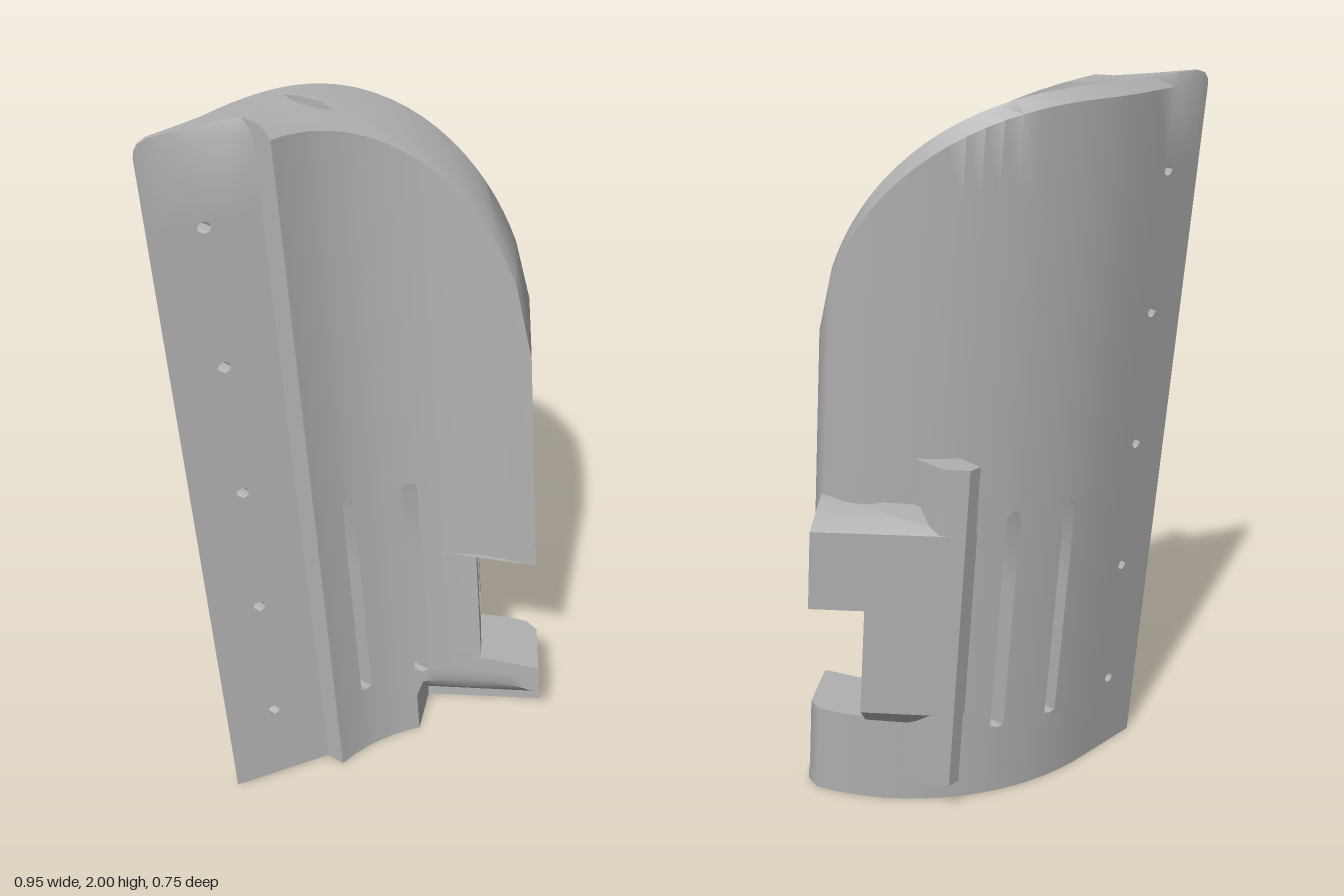
import * as THREE from 'three';
import { toCreasedNormals } from 'three/addons/utils/BufferGeometryUtils.js';

const CX = -0.25, CZ = 0.466, R_OUT = 0.666, R_IN = 0.476; // shared centre of both arcs
const LEAN = -0.0855;                                      // backward lean per unit height
const V = (x, y, z) => new THREE.Vector3(x, y, z);
const arc = (r, a) => [CX + r * Math.sin(a), CZ - r * Math.cos(a)];
const near = (a, b) => Math.abs(a - b) < 1e-6;

// Collects faces, leans them back and returns a mesh with sharp edges kept
function builder() {
  const data = [];
  const tri = (a, b, c) => {
    const n = b.clone().sub(a).cross(c.clone().sub(a));
    if (n.length() < 1e-9) return;
    for (const p of [a, b, c]) data.push(p.x, p.y, p.z + LEAN * p.y);
  };
  const quad = (a, b, c, d) => { tri(a, b, c); tri(a, c, d); };
  const mesh = (name, material) => {
    const g = new THREE.BufferGeometry();
    g.setAttribute('position', new THREE.Float32BufferAttribute(data, 3));
    const m = new THREE.Mesh(toCreasedNormals(g, 0.7), material);
    m.name = name;
    return m;
  };
  return { tri, quad, mesh };
}

// Upright solid between two matching plan outlines
function prism(name, low, high, y0, y1, material) {
  const b = builder();
  const lo = low.map(([x, z]) => V(x, y0, z)), hi = high.map(([x, z]) => V(x, y1, z));
  lo.forEach((p, i) => {
    const k = (i + 1) % lo.length;
    b.quad(p, hi[i], hi[k], lo[k]);
  });
  const flat = low.map(([x, z]) => new THREE.Vector2(x, z));
  for (const [i, j, k] of THREE.ShapeUtils.triangulateShape(flat, [])) {
    b.tri(lo[i], lo[j], lo[k]);
    b.tri(hi[i], hi[k], hi[j]);
  }
  return b.mesh(name, material);
}

// Bolt holes in the flange and the two long slots
const holes = [0.24, 0.62, 1.0, 1.38, 1.76].map(y => ({ x: -0.355, w: 0.016, y0: y - 0.016, y1: y + 0.016 }));
for (const x of [-0.11, 0.05]) holes.push({ x, w: 0.0175, y0: 0.22, y1: 0.9 });

const outerZ = x => x < CX ? CZ - R_OUT : CZ - Math.sqrt(R_OUT ** 2 - (x - CX) ** 2);
const innerZ = x => x < -0.2255 ? -0.2 + (x + 0.48) * 0.53 : CZ - Math.sqrt(R_IN ** 2 - (x - CX) ** 2);

// Height of the rounded top edge above a plan point
function topHeight(x, z) {
  if (x < -0.44) return 1.96 + Math.sqrt(Math.max(0, 0.0016 - (x + 0.44) ** 2));
  const t = (0.56 * x + 0.83 * z + 0.2) / 0.654;
  return t <= 0 ? 2 : 1.35 + 0.65 * Math.sqrt(Math.max(0, 1 - t * t));
}

function shell(material) {
  const b = builder();
  const xs = [-0.48, -0.476, -0.465, -0.44, -0.371, -0.355, -0.339, -0.28, -0.226, -0.225, -0.18,
    -0.1275, -0.11, -0.0925, -0.06, -0.03, 0, 0.0325, 0.05, 0.0675, 0.1];
  const N = 16, last = xs.length + N;

  // Rows: doubled where the free edge steps in for the pocket
  const marks = [0, 0.03, 0.08, 0.13, 0.18, 0.2375, 0.27, 0.3, 0.65, 0.8825, 1.2, 1.97, 2];
  for (const h of holes) marks.push(h.y0, h.y1, h.y1 - h.w);
  const ys = marks.sort((p, q) => p - q).filter((y, i, a) => !i || !near(y, a[i - 1]));
  const rows = ys.flatMap(y => {
    if (near(y, 0.27)) return [[y, 0], [y, 1]];
    if (near(y, 0.3)) return [[y, 1], [y, 2]];
    if (near(y, 0.65)) return [[y, 2], [y, 0]];
    return [[y, y > 0.3 && y < 0.65 ? 2 : 0]];
  });
  const ends = [[1.24, 1.355], [1.028, 1.058], [0.88, 0.9]];

  // Outer and inner surface points for one station and row
  function pair(i, [y, mode]) {
    let o, n;
    if (i < xs.length) {
      let x = xs[i];
      for (const h of holes) {
        if (!near(Math.abs(x - h.x), h.w)) continue;
        const s = near(y, h.y0) ? 1 : near(y, h.y1) ? -1 : 0;
        if (s) { x = h.x + (x - h.x) * 0.7; y += s * 0.3 * h.w; break; }
      }
      o = [x, outerZ(x)];
      n = [x, innerZ(x)];
    } else {
      const t = Math.sin(Math.min(1, (i - xs.length + 1) / N) * Math.PI / 2);
      o = arc(R_OUT, THREE.MathUtils.lerp(Math.asin(0.35 / R_OUT), ends[mode][0], t));
      n = arc(R_IN, THREE.MathUtils.lerp(Math.asin(0.35 / R_IN), ends[mode][1], t));
      if (i === last && mode === 0) { // eased free edge
        o = [o[0] - 0.012, o[1] + 0.045];
        n = [n[0] + 0.014, n[1] + 0.03];
      }
    }
    // Slanted undercut at the foot of the inner face
    const push = Math.min(0.13, 0.16 - y) - (0.83 * n[0] - 0.56 * n[1]);
    if (y < 0.18 && push > 0 && 0.56 * n[0] + 0.83 * n[1] > 0.1) n = [n[0] + 0.83 * push, n[1] - 0.56 * push];
    // Eased top rim
    const ease = near(y, 2) ? Math.min(0.3, 0.03 / (Math.hypot(n[0] - o[0], n[1] - o[1]) + 1e-6)) : 0;
    const place = (p, q) => {
      const h = topHeight(...p);
      const yy = y <= 1.2 ? y : y > 1.96 ? h - (2 - y) : 1.2 + (y - 1.2) * (h - 1.2) / 0.8;
      return V(p[0] + (q[0] - p[0]) * ease, yy, p[1] + (q[1] - p[1]) * ease);
    };
    return [place(o, n), place(n, o)];
  }

  const P = [];
  for (let i = 0; i <= last; i++) P.push(rows.map(r => pair(i, r)));
  const solid = (i, j) => {
    if (i < 0 || j < 0 || i >= last || j >= rows.length - 1) return false;
    if (i >= xs.length - 1) return true;
    const x = (xs[i] + xs[i + 1]) / 2, y = (rows[j][0] + rows[j + 1][0]) / 2;
    return !holes.some(h => Math.abs(x - h.x) < h.w && y > h.y0 && y < h.y1);
  };

  for (let i = 0; i < last; i++) for (let j = 0; j < rows.length - 1; j++) {
    if (!solid(i, j)) continue;
    const [a, A] = P[i][j], [c, C] = P[i + 1][j], [d, D] = P[i][j + 1], [e, E] = P[i + 1][j + 1];
    b.quad(a, d, e, c);
    b.quad(A, C, E, D);
    if (!solid(i + 1, j)) b.quad(c, e, E, C);
    if (!solid(i - 1, j)) b.quad(a, A, D, d);
    if (!solid(i, j - 1)) b.quad(a, c, C, A);
    if (solid(i, j + 1)) continue;
    const inPit = j === rows.length - 2 && xs[i] > -0.07 && xs[i] < -0.01;
    if (!inPit) { b.quad(d, D, E, e); continue; }
    // Small blind hole in the top rim, tapering toward one side
    const first = xs[i] < -0.04;
    const at = (p, q, t, drop) => p.clone().lerp(q, t).add(V(0, -drop, 0));
    const l = first ? [0.22, 0.45] : [0.3, 0.75], r = first ? [0.3, 0.75] : [0.5, 0.72];
    b.quad(d, at(d, D, l[0], 0), at(e, E, r[0], 0), e);
    b.quad(at(d, D, l[1], 0), D, E, at(e, E, r[1], 0));
    const f = [at(d, D, l[0], 0.12), at(d, D, l[1], 0.12), at(e, E, r[1], 0.12), at(e, E, r[0], 0.12)];
    const g = [at(d, D, l[0], 0), at(d, D, l[1], 0), at(e, E, r[1], 0), at(e, E, r[0], 0)];
    b.quad(...f);
    for (const k of first ? [0, 1, 3] : [1, 2, 3]) {
      const m = (k + 1) % 4;
      b.quad(f[k], g[k], g[m], f[m]);
    }
  }
  return b.mesh('curvedShell', material);
}

export function createModel() {
  const grey = new THREE.MeshStandardMaterial({ color: 0xb0b0b0 });
  grey.name = 'plain grey';
  const group = new THREE.Group();
  group.name = 'curvedGuard';
  group.add(shell(grey));

  // Housing on the outside: overhanging block, sloped cap, lower block, sloped foot
  const block = [[0.18, -0.12], [0.22, -0.12], [0.475, 0.195], [0.362, 0.278], [0.31, 0.13], [0.18, -0.02]];
  const cap = [[0.18, -0.12], [0.2, -0.11], [0.385, 0.255], [0.355, 0.278], [0.31, 0.13], [0.18, -0.02]];
  const lower = [[0.18, -0.12], [0.22, -0.12], [0.38, 0.08], [0.345, 0.105], [0.26, 0.06], [0.18, -0.02]];
  const foot = [[0.18, -0.09], [0.2, -0.07], [0.33, 0.11], [0.32, 0.12], [0.26, 0.06], [0.18, -0.02]];
  group.add(prism('housingBlock', block, block, 0.65, 0.88, grey));
  group.add(prism('housingCap', block, cap, 0.88, 0.94, grey));
  group.add(prism('lowerHousing', lower, lower, 0.33, 0.65, grey));
  group.add(prism('housingFoot', foot, lower, 0.27, 0.33, grey));

  // Thin inner wall closing the pocket
  const angles = [0.87, 0.93, 0.99, 1.058];
  const wall = [...angles.map(a => arc(0.5, a)), ...angles.map(a => arc(R_IN, a)).reverse()];
  group.add(prism('pocketWall', wall, wall, 0.3, 0.65, grey));

  // Upright rail along the rear of the housing
  const rail = [[0.185, -0.12], [0.222, -0.12], [0.262, -0.065], [0.26, 0.06], [0.18, -0.02]];
  group.add(prism('housingRail', rail, rail, 0.1, 1.07, grey));
  return group;
}
